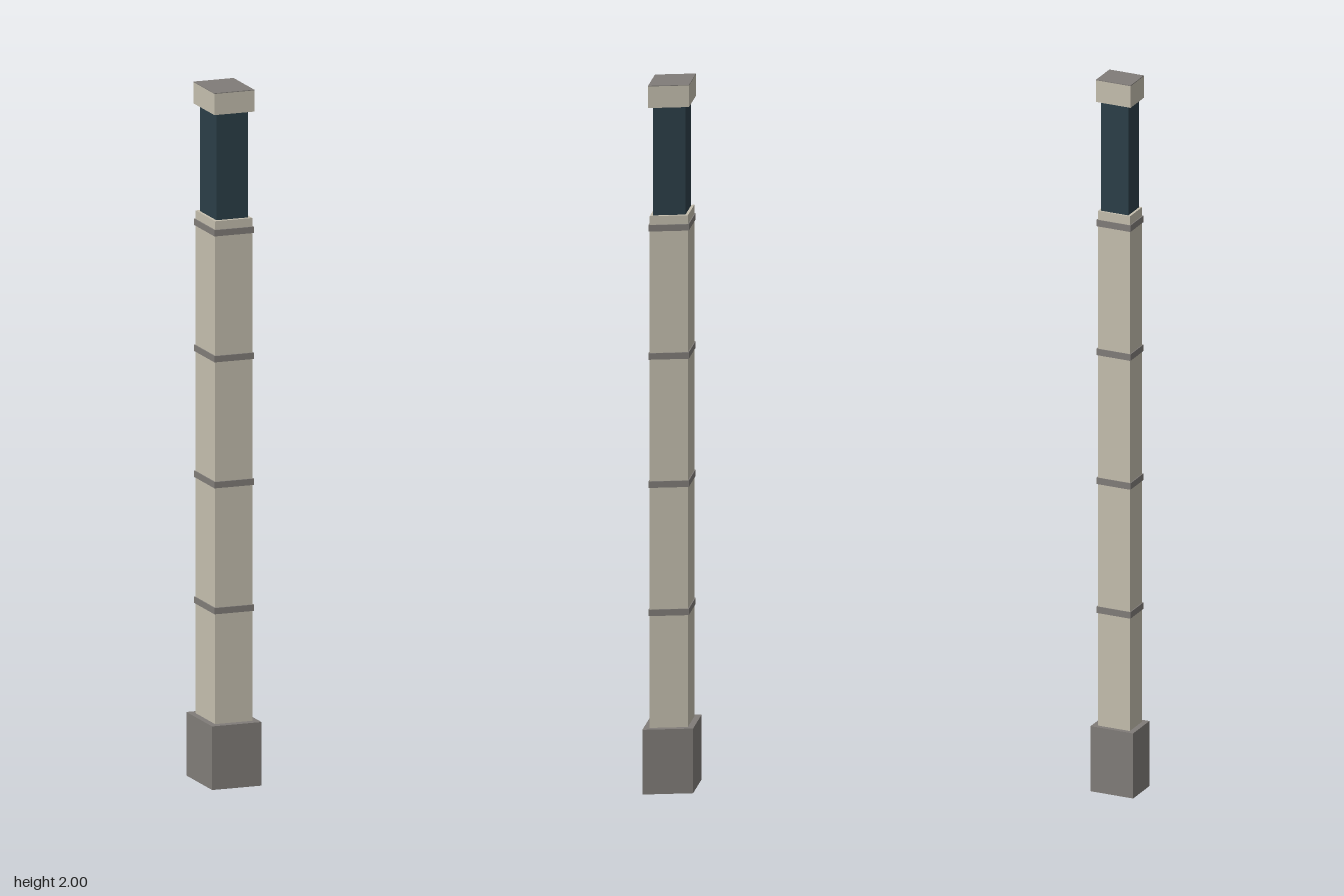
import * as THREE from 'three';

// Plan of the tower: a slanted parallelogram, as (x, z) corners at full base size
const PLAN = [[-0.089, -0.065], [0.05, -0.068], [0.089, 0.065], [-0.05, 0.068]];

const stone = new THREE.MeshStandardMaterial({ name: 'beige stone', color: 0xc3bdad });
const grey = new THREE.MeshStandardMaterial({ name: 'grey stone', color: 0x807c78 });
const glass = new THREE.MeshStandardMaterial({ name: 'dark glass', color: 0x2b3e47 });

// Prism over the plan, scaled so that its half width in x is halfX
function prism(name, halfX, bottom, top, material) {
  const s = halfX / 0.089;
  const shape = new THREE.Shape(PLAN.map(([x, z]) => new THREE.Vector2(x * s, -z * s)));
  const geometry = new THREE.ExtrudeGeometry(shape, { depth: top - bottom, bevelEnabled: false });
  geometry.rotateX(-Math.PI / 2);
  const mesh = new THREE.Mesh(geometry, material);
  mesh.name = name;
  mesh.position.y = bottom;
  return mesh;
}

export function createModel() {
  const tower = new THREE.Group();
  tower.name = 'tower';

  tower.add(
    prism('base', 0.089, 0, 0.183, grey),
    prism('shaft', 0.067, 0.183, 1.63, stone),
    prism('glazedStorey', 0.057, 1.63, 1.937, glass),
    prism('cap', 0.072, 1.937, 1.998, stone),
    prism('roof', 0.072, 1.998, 2, grey),
  );

  // Evenly spaced bands around the shaft
  for (let i = 0; i < 4; i++) {
    const y = 0.509 + i * 0.3625;
    tower.add(prism('band', 0.071, y - 0.009, y + 0.009, grey));
  }
  return tower;
}
